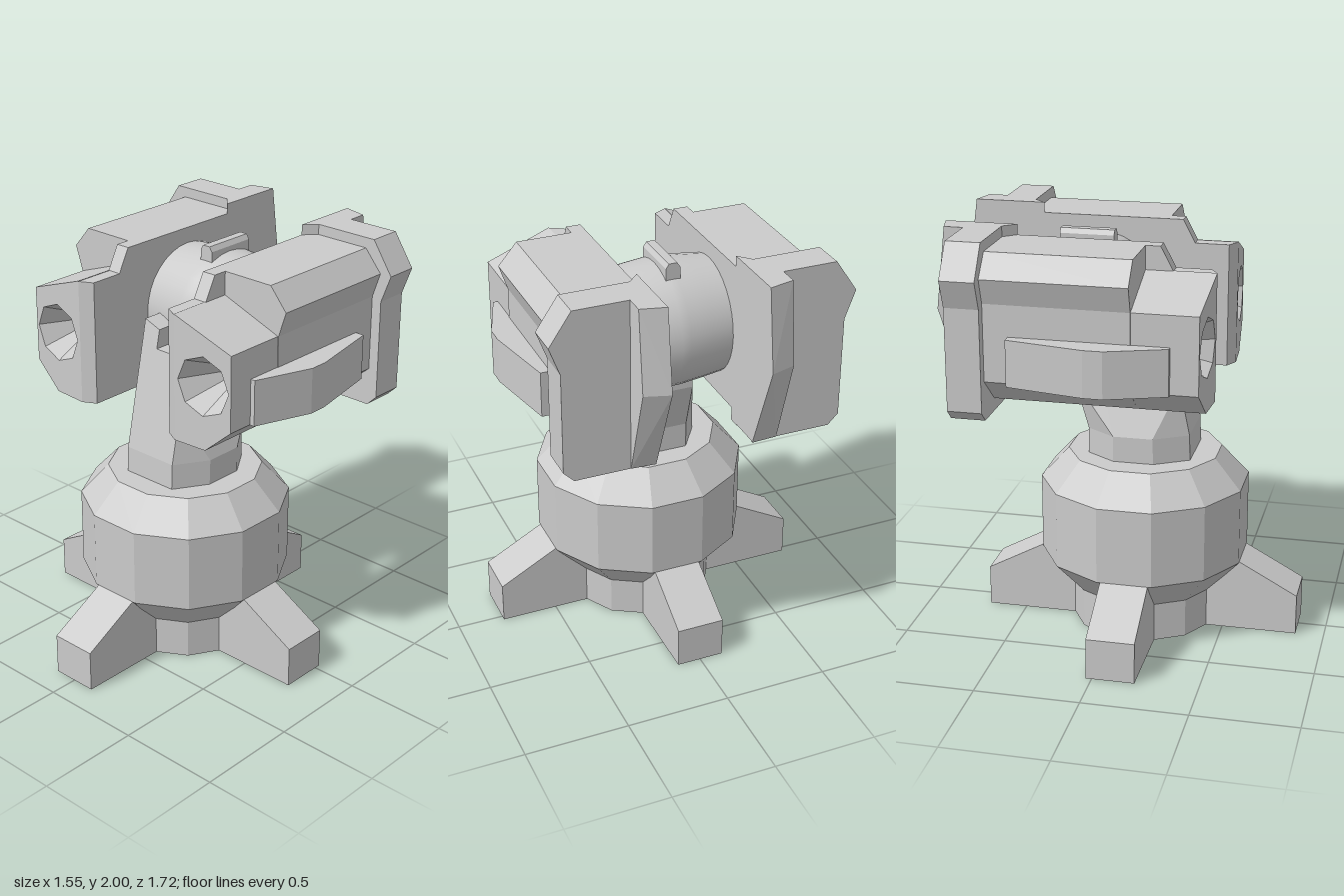
import * as THREE from 'three';
import { ConvexGeometry } from 'three/addons/geometries/ConvexGeometry.js';

const flat = new THREE.MeshStandardMaterial({ color: 0xcccccc, flatShading: true });
const smooth = new THREE.MeshStandardMaterial({ color: 0xcccccc });
const inside = new THREE.MeshStandardMaterial({ color: 0xcccccc, flatShading: true, side: THREE.DoubleSide });

const BASE_Z = 0.0875;
const v2 = (pts) => pts.map(([x, y]) => new THREE.Vector2(x, y));

function add(parent, name, geometry, material = flat) {
  const mesh = new THREE.Mesh(geometry, material);
  mesh.name = name;
  parent.add(mesh);
  return mesh;
}

// Outline in x,y pushed along z from z0 to z1
function prism(pts, z0, z1, hole) {
  const shape = new THREE.Shape(v2(pts));
  if (hole) shape.holes.push(new THREE.Path(v2(hole)));
  return new THREE.ExtrudeGeometry(shape, { depth: z1 - z0, bevelEnabled: false }).translate(0, 0, z0);
}

// Outline in x,z raised from y0 to y1
function slab(pts, y0, y1) {
  return prism(pts.map(([x, z]) => [x, -z]), y0, y1).rotateX(-Math.PI / 2);
}

const hull = (pts) => new ConvexGeometry(pts.map((p) => new THREE.Vector3(...p)));

// Reflect across x = 0, keeping faces outward
function mirrored(geometry) {
  const g = geometry.index ? geometry.toNonIndexed() : geometry.clone();
  g.scale(-1, 1, 1);
  const p = g.attributes.position;
  const a = new THREE.Vector3(), b = new THREE.Vector3();
  for (let i = 0; i < p.count; i += 3) {
    a.fromBufferAttribute(p, i + 1);
    b.fromBufferAttribute(p, i + 2);
    p.setXYZ(i + 1, b.x, b.y, b.z);
    p.setXYZ(i + 2, a.x, a.y, a.z);
  }
  g.computeVertexNormals();
  return g;
}

// The muzzle face leans back towards its outer side
function leanFront(geometry) {
  const p = geometry.attributes.position;
  for (let i = 0; i < p.count; i++) {
    if (p.getZ(i) > 0.4) p.setZ(i, p.getZ(i) - 0.065 * (p.getX(i) - 0.3));
  }
  geometry.computeVertexNormals();
  return geometry;
}

function makeBase() {
  const base = new THREE.Group();
  base.name = 'base';
  base.position.z = BASE_Z;
  // Twelve-sided drum; radii are measured to the flat sides
  const k = 1 / Math.cos(Math.PI / 12);
  const profile = [[0, 0], [0.345, 0], [0.345, 0.19], [0.49, 0.355], [0.49, 0.73], [0.36, 0.875], [0, 0.875]];
  add(base, 'pedestal', new THREE.LatheGeometry(v2(profile.map(([r, y]) => [r * k, y])), 12, Math.PI / 12));
  // Four feet
  const foot = prism([[0.2, 0], [0.775, 0], [0.775, 0.2], [0.49, 0.355], [0.2, 0.355]], -0.115, 0.115);
  for (let i = 0; i < 4; i++) add(base, 'foot', foot).rotation.y = i * Math.PI / 2;
  return base;
}

function makeNeck() {
  const neck = new THREE.Group();
  neck.name = 'neck';
  // Horizontal section: front width, waist width, front z, back z
  const section = (y, f, w, zf, zb) => [-1, 1].flatMap((s) => [
    [s * f, y, zf], [s * w, y, zf - 0.16], [s * w, y, zb + 0.14], [s * f, y, zb]]);
  const levels = [
    section(0.86, 0.145, 0.24, 0.335, -0.16),
    section(1.0, 0.145, 0.24, 0.33, -0.16),
    section(1.24, 0.145, 0.146, 0.28, -0.23),
    section(1.5, 0.145, 0.146, 0.225, -0.23),
  ];
  for (let i = 0; i < 3; i++) add(neck, 'neckSegment', hull([...levels[i], ...levels[i + 1]]));
  // Two prongs with a notch between them
  for (const s of [-1, 1]) {
    add(neck, 'prong', hull([
      [s * 0.05, 1.48, 0.229], [s * 0.145, 1.48, 0.229], [s * 0.05, 1.48, 0.05], [s * 0.145, 1.48, 0.05],
      [s * 0.05, 1.59, 0.205], [s * 0.145, 1.62, 0.2], [s * 0.05, 1.59, 0.05], [s * 0.145, 1.62, 0.05]]));
  }
  return neck;
}

function makeHub() {
  const hub = new THREE.Group();
  hub.name = 'hub';
  // Barrel-shaped cross drum
  const barrel = [[0.277, -0.25], [0.292, -0.13], [0.303, -0.02], [0.303, 0.02], [0.292, 0.13], [0.277, 0.25]];
  const drum = new THREE.LatheGeometry(v2(barrel), 32).rotateZ(-Math.PI / 2).translate(0, 1.595, -0.185);
  add(hub, 'drum', drum, smooth);
  // Rounded sight rail on top
  add(hub, 'sightRail', prism([[-0.035, 1.8], [0.035, 1.8], [0.035, 1.92], [0.02, 1.943],
    [-0.02, 1.943], [-0.035, 1.92]], -0.32, -0.06));
  return hub;
}

// Parts of the pod on the +x side
function podParts() {
  const cx = 0.462, cy = 1.54, r = 0.142;
  const hole = Array.from({ length: 8 }, (_, i) => {
    const a = -i * Math.PI / 4;
    return [cx + r * Math.cos(a), cy + r * Math.sin(a)];
  });
  const body = prism([[0.235, 1.235], [0.475, 1.235], [0.62, 1.36], [0.62, 1.725], [0.66, 1.845],
    [0.57, 1.95], [0.235, 1.95]], -0.53, 0.148);
  const muzzle = leanFront(prism([[0.3, 1.235], [0.475, 1.235], [0.617, 1.36], [0.617, 1.725],
    [0.3, 1.84]], 0.14, 0.475, hole));
  // Recess narrowing to a point
  const bore = leanFront(new THREE.ConeGeometry(r, 0.3, 8, 1, true)
    .rotateX(-Math.PI / 2).translate(cx, cy, 0.325));
  const innerCheek = slab([[0.235, 0.14], [0.3, 0.14], [0.3, 0.475], [0.235, 0.44]], 1.235, 1.838);
  const step = hull([0.235, 0.305].flatMap((x) => [
    [x, 1.95, 0.14], [x, 1.95, 0.217], [x, 1.87, 0.245], [x, 1.83, 0.28], [x, 1.8, 0.14]]));
  const sidePanel = slab([[0.6, -0.41], [0.665, -0.41], [0.738, -0.04], [0.738, 0.05],
    [0.64, 0.325], [0.6, 0.325]], 1.358, 1.578);
  const backPlate = prism([[0.235, 1.175], [0.62, 1.175], [0.67, 1.225], [0.67, 1.71], [0.72, 1.845],
    [0.615, 2], [0.235, 2]], -0.688, -0.525);
  const innerFlange = slab([[0.235, -0.525], [0.235, -0.467], [0.29, -0.525]], 1.17, 2);
  const backFin = hull([
    [0.235, 2, -0.68], [0.235, 2, -0.81], [0.235, 1.61, -0.862], [0.235, 1.17, -0.69], [0.235, 1.17, -0.68],
    [0.355, 2, -0.68], [0.355, 2, -0.78], [0.355, 1.61, -0.825], [0.355, 1.175, -0.69], [0.355, 1.175, -0.68]]);
  return { body, muzzle, bore, innerCheek, step, sidePanel, backPlate, innerFlange, backFin };
}

export function createModel() {
  const model = new THREE.Group();
  model.name = 'turret';
  model.add(makeBase(), makeNeck(), makeHub());
  const left = new THREE.Group(), right = new THREE.Group();
  left.name = 'leftPod';
  right.name = 'rightPod';
  for (const [name, geometry] of Object.entries(podParts())) {
    const material = name === 'bore' ? inside : flat;
    add(left, name, geometry, material);
    add(right, name, mirrored(geometry), material);
  }
  model.add(left, right);
  return model;
}
